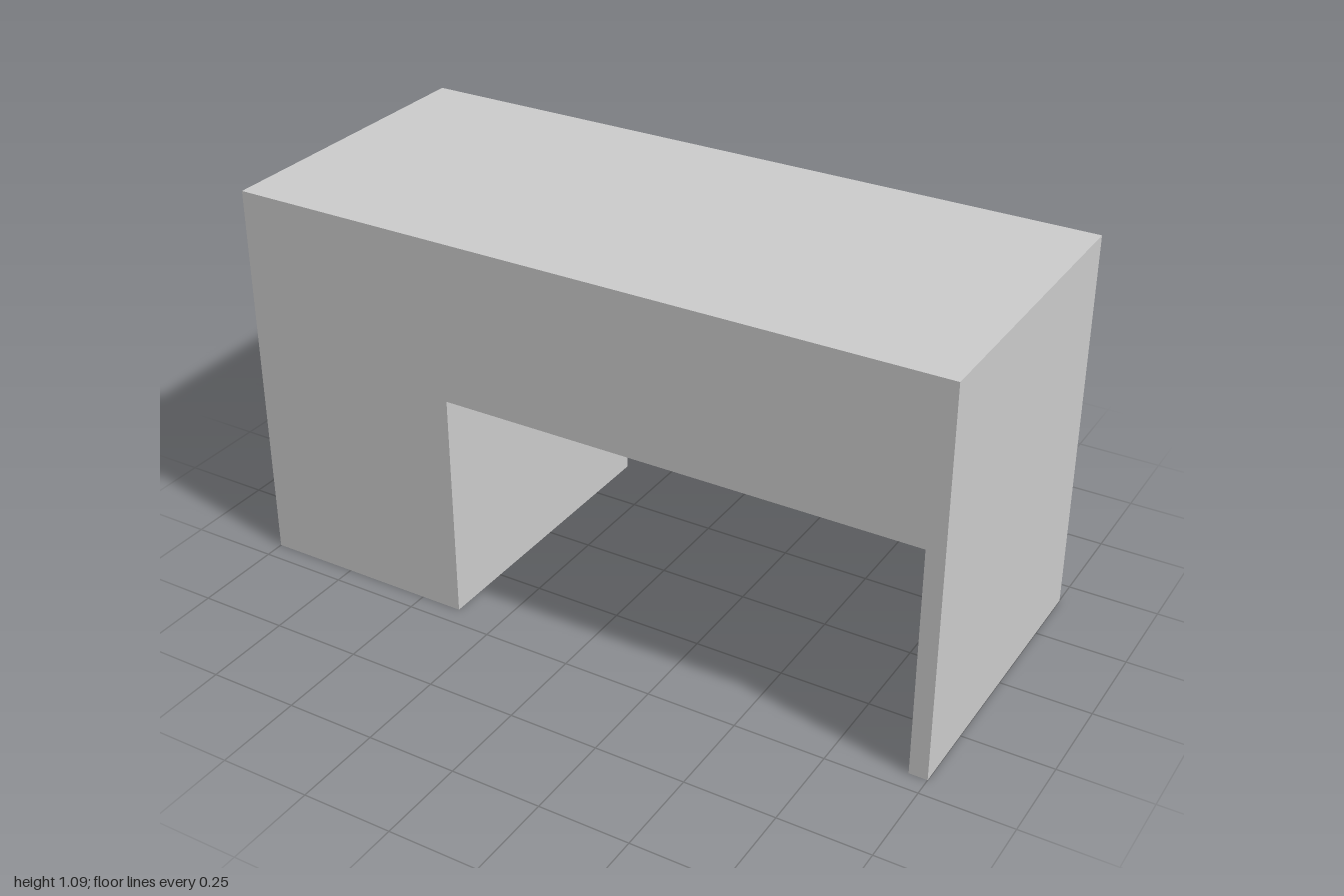
import * as THREE from 'three';

const material = new THREE.MeshStandardMaterial({ color: 0xcccccc });

// Box given by its extents along each axis
function slab(parent, name, [x0, x1], [y0, y1], [z0, z1]) {
  const mesh = new THREE.Mesh(new THREE.BoxGeometry(x1 - x0, y1 - y0, z1 - z0), material);
  mesh.name = name;
  mesh.position.set((x0 + x1) / 2, (y0 + y1) / 2, (z0 + z1) / 2);
  parent.add(mesh);
  return mesh;
}

// Bar handle on two short posts
function createHandle() {
  const handle = new THREE.Group();
  handle.name = 'handle';
  const bar = new THREE.Mesh(new THREE.CylinderGeometry(0.0045, 0.0045, 0.146, 12), material);
  bar.name = 'handleBar';
  bar.rotation.z = Math.PI / 2;
  bar.position.z = -0.0205;
  handle.add(bar);
  for (const side of [-1, 1]) {
    const post = new THREE.Mesh(new THREE.CylinderGeometry(0.0035, 0.0035, 0.02, 10), material);
    post.name = 'handlePost';
    post.rotation.x = Math.PI / 2;
    post.position.set(side * 0.055, 0, -0.01);
    handle.add(post);
  }
  return handle;
}

export function createModel() {
  const desk = new THREE.Group();
  desk.name = 'desk';

  const back = -0.425, front = 0.445, top = 1.09, under = 1.04;
  const depth = [back, front];

  // Top, side leg and modesty panel
  slab(desk, 'deskTop', [-1, 1], [under, top], depth);
  slab(desk, 'sideLeg', [0.95, 1], [0, under], depth);
  slab(desk, 'modestyPanel', [-0.38, 0.95], [0.645, under], [front - 0.04, front]);

  // Drawer cabinet carcass, open at the back and underneath
  const inner = [-0.935, -0.43];
  const cabinet = new THREE.Group();
  cabinet.name = 'drawerCabinet';
  desk.add(cabinet);
  slab(cabinet, 'cabinetOuterSide', [-1, inner[0]], [0, under], depth);
  slab(cabinet, 'cabinetInnerSide', [inner[1], -0.38], [0, under], depth);
  slab(cabinet, 'cabinetFront', inner, [0, under], [0.345, front]);
  slab(cabinet, 'cabinetRail', inner, [0.99, under], [back, 0.345]);

  // Four stacked drawers separated by narrow gaps
  const pitch = 0.2435, gap = 0.003, face = back + 0.004;
  for (let i = 0; i < 4; i++) {
    const drawer = new THREE.Group();
    drawer.name = 'drawer' + (i + 1);
    const y = 0.013 + i * pitch;
    slab(drawer, 'drawerBox', [inner[0] + gap, inner[1] - gap], [y + gap, y + pitch - gap], [face, 0.34]);
    const handle = createHandle();
    handle.position.set(-0.673, 0.195 + i * 0.2425, face);
    drawer.add(handle);
    cabinet.add(drawer);
  }
  return desk;
}
